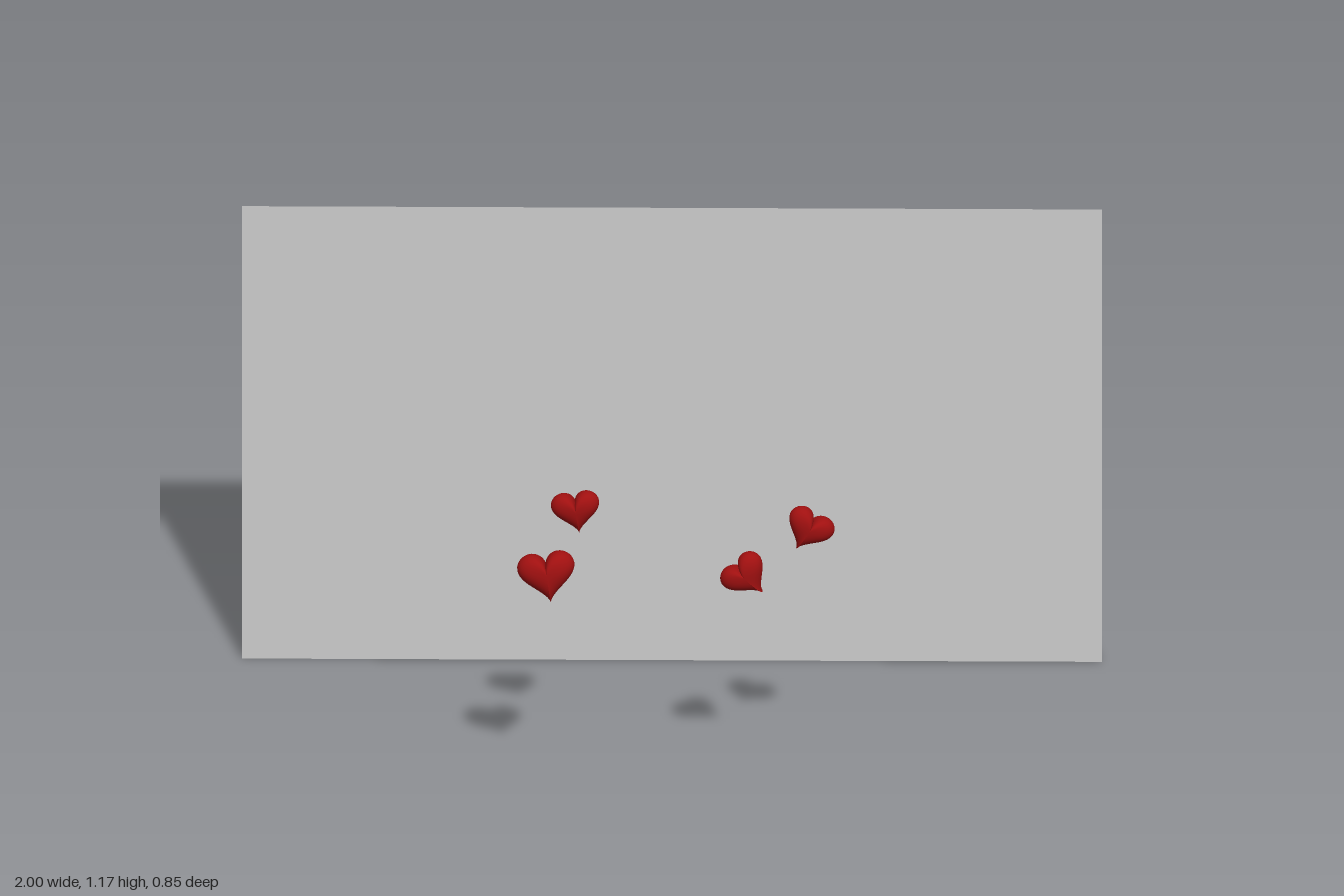
import * as THREE from 'three';
import { mergeVertices } from 'three/addons/utils/BufferGeometryUtils.js';

// Puffy heart of unit width: a sphere whose rings follow a heart curve
function heartGeometry() {
  const geo = new THREE.SphereGeometry(1, 64, 32);
  geo.rotateX(Math.PI / 2); // poles now face front and back
  const p = geo.attributes.position;
  for (let i = 0; i < p.count; i++) {
    const t = Math.atan2(p.getX(i), p.getY(i));
    const ring = Math.pow(Math.hypot(p.getX(i), p.getY(i)), 0.8);
    const x = 16 * Math.sin(t) ** 3;
    const y = 13 * Math.cos(t) - 5 * Math.cos(2 * t) - 2 * Math.cos(3 * t) - Math.cos(4 * t);
    const hx = (x / 32) * ring;
    const hy = (y / 32) * ring;
    // thinner towards the tip
    p.setXYZ(i, hx, hy, p.getZ(i) * 0.255 * (1 + 0.3 * hy));
  }
  geo.deleteAttribute('uv');
  geo.deleteAttribute('normal');
  const merged = mergeVertices(geo, 1e-4);
  merged.computeVertexNormals();
  return merged;
}

export function createModel() {
  const group = new THREE.Group();

  // Flat backdrop behind the hearts
  const panel = new THREE.Mesh(
    new THREE.PlaneGeometry(2, 1.166),
    new THREE.MeshStandardMaterial({ color: 0xcccccc, side: THREE.DoubleSide })
  );
  panel.name = 'backPanel';
  panel.position.set(0, 0.583, -0.425);
  group.add(panel);

  // Floating hearts: centre, width, forward tilt, roll
  const red = new THREE.MeshStandardMaterial({ color: 0xa01010 });
  const base = heartGeometry();
  const hearts = [
    ['largeHeart', [-0.286, 0.606, 0.39], 0.134, -0.15, 0.14],
    ['upperHeart', [-0.219, 0.726, 0.294], 0.113, 0, 0.14],
    ['rightTippedHeart', [0.332, 0.688, 0.294], 0.113, 0, -0.52],
    ['leftTippedHeart', [0.168, 0.573, 0.294], 0.113, 0, 0.75],
  ];
  for (const [name, centre, width, tilt, roll] of hearts) {
    const geo = base.clone().rotateZ(roll).rotateX(tilt).scale(width, width, width).center();
    const heart = new THREE.Mesh(geo, red);
    heart.name = name;
    heart.position.set(...centre);
    group.add(heart);
  }
  return group;
}
